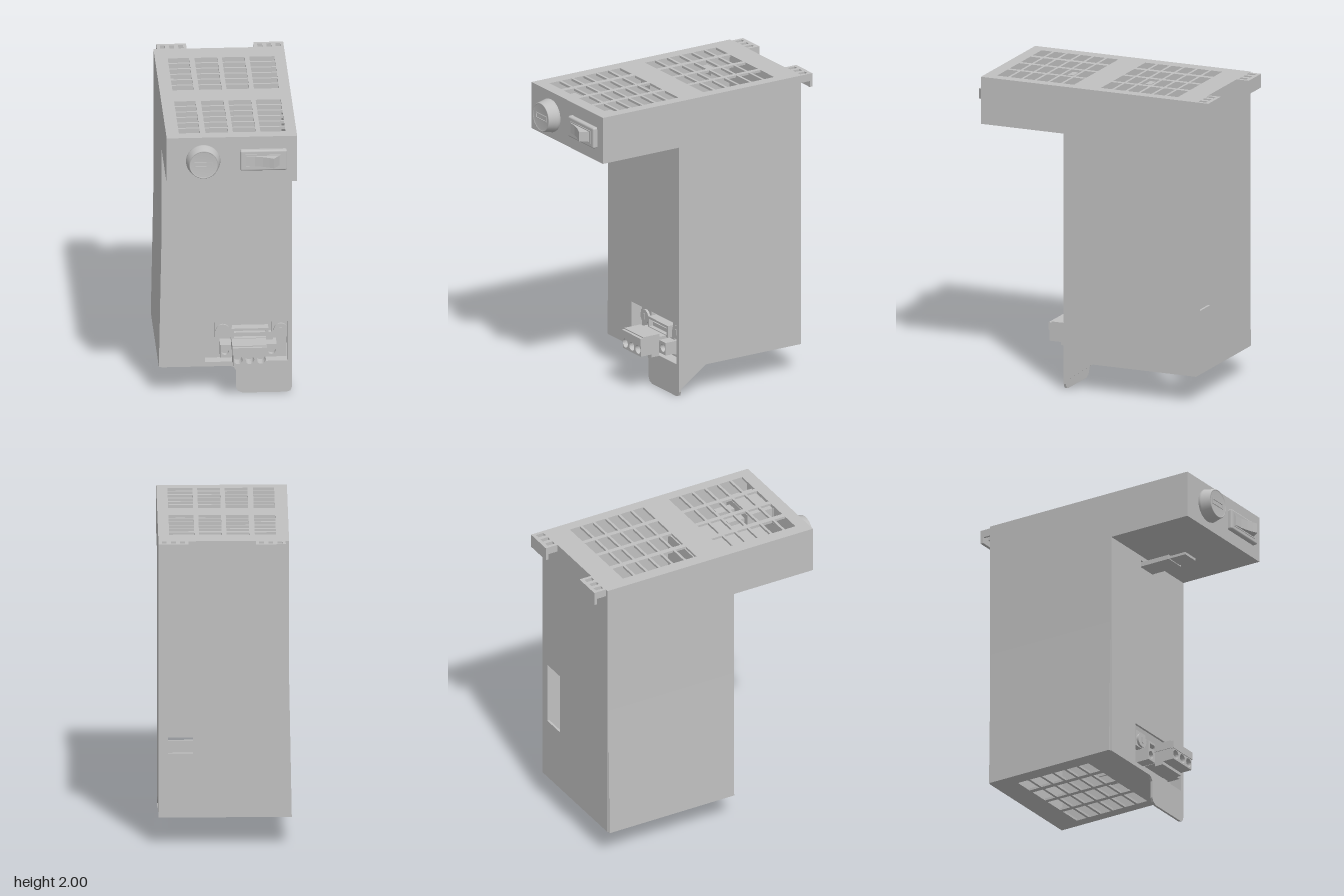
import * as THREE from 'three';
import { RoundedBoxGeometry } from 'three/addons/geometries/RoundedBoxGeometry.js';

const T = 0.015; // sheet thickness
const COLS = [[-0.33, -0.195], [-0.16, -0.015], [0.015, 0.16], [0.19, 0.35]];

export function createModel() {
  const model = new THREE.Group();
  model.name = 'electricalEnclosure';
  const grey = new THREE.MeshStandardMaterial({ color: 0xc0c0c0, side: THREE.DoubleSide });
  grey.name = 'light grey';

  const add = (name, geometry, parent = model) => {
    const mesh = new THREE.Mesh(geometry, grey);
    mesh.name = name;
    parent.add(mesh);
    return mesh;
  };
  const group = (name) => {
    const g = new THREE.Group();
    g.name = name;
    model.add(g);
    return g;
  };
  // Box given by its limits on each axis
  const box = (name, x0, x1, y0, y1, z0, z1, parent) => {
    const m = add(name, new THREE.BoxGeometry(x1 - x0, y1 - y0, z1 - z0), parent);
    m.position.set((x0 + x1) / 2, (y0 + y1) / 2, (z0 + z1) / 2);
    return m;
  };
  const rect = (a0, a1, b0, b1) => [[a0, b0], [a1, b0], [a1, b1], [a0, b1]];
  const extrude = (pts, holes, depth) => {
    const v = (list) => list.map(([a, b]) => new THREE.Vector2(a, b));
    const shape = new THREE.Shape(v(pts));
    for (const h of holes) shape.holes.push(new THREE.Path(v(h)));
    return new THREE.ExtrudeGeometry(shape, { depth, bevelEnabled: false });
  };
  // Sheets: points (x,y) from z, points (x,z) from y upwards, points (z,y) inwards from x
  const sheetXY = (name, pts, holes, z, depth = T, parent) =>
    add(name, extrude(pts, holes, depth).translate(0, 0, z), parent);
  const sheetXZ = (name, pts, holes, y, depth = T, parent) => {
    const flip = (list) => list.map(([x, z]) => [x, -z]);
    return add(name, extrude(flip(pts), holes.map(flip), depth).rotateX(-Math.PI / 2).translate(0, y, 0), parent);
  };
  const sheetZY = (name, pts, x, depth = T) =>
    add(name, extrude(pts, [], depth).rotateY(-Math.PI / 2).translate(x, 0, 0));
  const circle = (cx, cy, r, n = 20) => Array.from({ length: n }, (_, i) => {
    const a = (i / n) * Math.PI * 2;
    return [cx + r * Math.cos(a), cy + r * Math.sin(a)];
  });
  // Cylinder pointing to the front
  const rod = (name, x, y, z0, z1, r, parent) =>
    add(name, new THREE.CylinderGeometry(r, r, z1 - z0, 20).rotateX(Math.PI / 2), parent)
      .position.set(x, y, (z0 + z1) / 2);

  // Grille openings, four columns by six rows
  const grille = (zStart) => {
    const holes = [];
    for (let r = 0; r < 6; r++) {
      const z = zStart + r * 0.0925;
      for (const [x0, x1] of COLS) holes.push(rect(x0, x1, z, z + 0.076));
    }
    return holes;
  };

  // Sheet metal case
  const X0 = -0.412, X1 = 0.42, BACK = -0.755, FRONT = 0.752, MID = 0.172;
  sheetXZ('topPanel', rect(X0, X1, BACK, FRONT), [...grille(-0.595), ...grille(0.132)], 2 - T);
  sheetXZ('bottomPanel', rect(X0, X1, BACK, MID), grille(-0.595), 0.19);
  box('headFloor', X0, X1, 1.69, 1.69 + T, MID - T, FRONT);
  box('headFront', X0, X1, 1.69, 2, FRONT - T, FRONT);
  sheetZY('leftWall', [[BACK, 0.19], [-0.03, 0.19], [0.155, 0.06], [MID, 0.06], [MID, 1.69],
    [FRONT, 1.69], [FRONT, 2], [BACK, 2]], X1);
  sheetZY('rightWall', [[BACK, 0.19], [MID, 0.19], [MID, 1.69], [FRONT, 1.69], [FRONT, 2], [BACK, 2]], X0 + T);
  sheetXY('backPanel', rect(X0, X1, 0.19, 2), [rect(0.2, 0.36, 0.61, 1.03)], BACK);

  // Lower front panel with its hanging tab, connector window and card slot
  sheetXY('frontPanel', [[X0, 0.19], [0.03, 0.19], [0.05, 0.18], [0.062, 0.16], [0.062, 0.045],
    [0.075, 0.018], [0.105, 0.005], [0.385, 0.005], [0.41, 0.014], [X1, 0.04], [X1, 1.69], [X0, 1.69]],
  [rect(-0.135, 0.39, 0.22, 0.49),
    [[-0.07, 1.61], [0.08, 1.61], [0.08, 1.66], [0.015, 1.66], [0.015, 1.68], [-0.005, 1.68], [-0.005, 1.66], [-0.07, 1.66]]],
  MID - T);

  // Slightly splayed side cover
  sheetXY('sideCover', [[-0.4, 0.19], [-0.429, 0.19], [-0.427, 0.3], [-0.412, 1.1], [-0.41, 1.68], [-0.4, 1.68]],
    [], BACK + 0.005, 0.915);
  // Inner fixing studs
  const studs = group('innerStuds');
  for (const [y, z] of [[1.85, -0.555], [1.85, -0.09], [1.85, 0.45], [0.3, -0.555], [0.3, -0.09]])
    box('stud', -0.4, -0.295, y - 0.02, y + 0.02, z - 0.02, z + 0.02, studs);

  // Rear hanging hooks
  for (const x0 of [-0.39, 0.23]) {
    const hook = group('rearHook');
    const x1 = x0 + 0.19;
    const holes = [0, 1, 2].map((i) => rect(x0 + 0.022 + i * 0.058, x0 + 0.053 + i * 0.058, -0.815, -0.762));
    sheetXZ('hookTop', rect(x0, x1, -0.84, BACK + 0.005), holes, 2 - T, T, hook);
    box('hookFlange', x0, x1, 1.91, 2, -0.84, -0.82, hook);
    for (let i = 0; i < 4; i++) {
      const x = x0 + i * (0.19 - 0.014) / 3;
      box('hookRib', x, x + 0.014, 1.95, 2 - T, -0.82, BACK, hook);
    }
  }

  // Round knob
  const knob = group('knob');
  const profile = [[0.105, 0], [0.11, 0.012], [0.108, 0.02], [0.094, 0.08], [0.088, 0.083], [0.086, 0.076], [0, 0.076]];
  add('knobBody', new THREE.LatheGeometry(profile.map(([r, h]) => new THREE.Vector2(r, h)), 48)
    .rotateX(Math.PI / 2), knob);
  sheetXY('knobSlot', rect(-0.06, 0.06, -0.019, 0.019), [rect(-0.053, 0.053, -0.012, 0.012)], 0.074, 0.007, knob);
  knob.position.set(-0.18, 1.845, FRONT);

  // Rocker switch
  const rocker = group('rockerSwitch');
  add('rockerBezel', new RoundedBoxGeometry(0.3, 0.14, 0.05, 3, 0.012), rocker).position.set(0.205, 1.846, 0.757);
  sheetXZ('rockerButton', [[0.095, 0.77], [0.095, 0.788], [0.15, 0.793], [0.2, 0.806], [0.24, 0.822],
    [0.268, 0.836], [0.305, 0.785], [0.305, 0.77]], [], 1.813, 0.066, rocker);
  sheetXY('rockerRim', rect(0.085, 0.32, 1.803, 1.889), [rect(0.093, 0.31, 1.811, 1.881)], 0.78, 0.006, rocker);
  box('rockerBody', 0.07, 0.34, 1.79, 1.9, 0.55, 0.74, rocker);
  for (const x of [0.14, 0.27]) box('rockerTerminal', x - 0.03, x + 0.03, 1.83, 1.86, 0.43, 0.55, rocker);

  // Circuit card edge through the slot
  const card = group('cardEdge');
  box('cardBase', -0.065, 0.075, 1.615, 1.65, 0.1, 0.38, card).scale.set(1, 0.85, 1);
  box('cardTip', -0.055, 0.065, 1.623, 1.64, 0.38, 0.5, card);

  // Terminal connector in the window
  const plug = group('terminalConnector');
  box('header', 0.03, 0.3, 0.25, 0.4, -0.13, 0.13, plug);
  box('recessPlate', -0.135, 0.39, 0.22, 0.49, 0.08, 0.095, plug);
  for (const x of [0.095, 0.235]) box('pin', x - 0.005, x + 0.005, 0.31, 0.33, -0.28, -0.13, plug);
  sheetXY('plugEars', rect(-0.04, 0.32, 0.265, 0.35), [-0.01, 0.287].map((x) => circle(x, 0.307, 0.025)), 0.12, 0.09, plug);
  box('plugEarsBack', -0.04, 0.32, 0.265, 0.35, 0.1, 0.18, plug);
  sheetXY('plugFront', rect(0.035, 0.245, 0.262, 0.34),
    [0.065, 0.14, 0.212].map((x) => circle(x, 0.302, 0.029)), 0.26, 0.09, plug);
  box('plugBody', 0.035, 0.245, 0.242, 0.385, 0.21, 0.27, plug);
  box('plugNeck', 0.035, 0.245, 0.262, 0.37, 0.12, 0.22, plug);
  box('plugTop', 0.03, 0.25, 0.34, 0.392, 0.21, 0.335, plug);
  box('plugLip', 0.03, 0.25, 0.335, 0.385, 0.335, 0.355, plug);
  sheetXY('headerShroud', rect(0.035, 0.27, 0.36, 0.44), [rect(0.05, 0.255, 0.375, 0.425)], 0.09, 0.07, plug);
  for (const x of [-0.02, 0.35]) {
    box('screwBlock', x - 0.06 + (x > 0 ? 0 : 0.01), Math.min(x + 0.06, 0.39), 0.37, 0.48, 0.09, 0.135, plug);
    rod('screwHead', x, 0.42, 0.13, 0.15, 0.046, plug);
    box('screwBar', x - 0.008, x + 0.008, 0.4, 0.44, 0.15, 0.155, plug);
  }
  return model;
}
